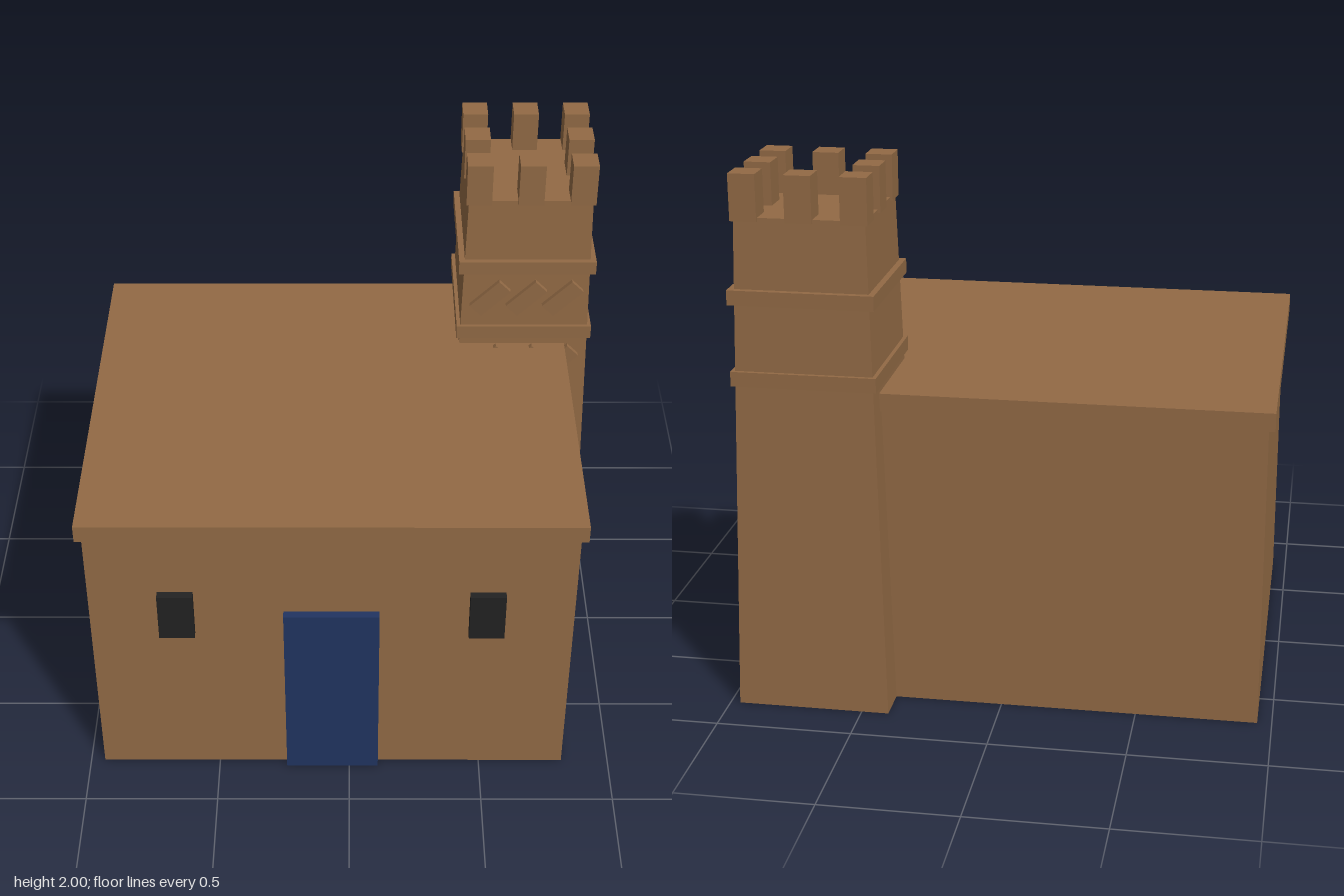
import * as THREE from 'three';

export function createModel() {
  const model = new THREE.Group();
  model.name = 'house';
  const material = (name, color) => {
    const m = new THREE.MeshStandardMaterial({ color });
    m.name = name;
    return m;
  };
  const clay = material('clay', 0x926a45);
  const blue = material('doorBlue', 0x213461);
  const dark = material('windowDark', 0x222222);

  // Box given by its limits on each axis
  const box = (name, mat, [x0, x1], [y0, y1], [z0, z1], parent = model) => {
    const mesh = new THREE.Mesh(new THREE.BoxGeometry(x1 - x0, y1 - y0, z1 - z0), mat);
    mesh.position.set((x0 + x1) / 2, (y0 + y1) / 2, (z0 + z1) / 2);
    mesh.name = name;
    parent.add(mesh);
    return mesh;
  };

  // House with overhanging flat roof
  box('walls', clay, [-0.947, 0.821], [0, 1.15], [-0.692, 0.8]);
  box('roof', clay, [-0.97, 0.845], [1.138, 1.205], [-0.715, 0.82]);
  box('door', blue, [-0.24, 0.11], [0, 0.785], [0.79, 0.83]);
  for (const x of [-0.63, 0.502]) {
    box('window', dark, [x - 0.065, x + 0.065], [0.68, 0.88], [0.79, 0.83]);
  }

  // Tapered corner tower
  const tower = new THREE.Group();
  tower.name = 'tower';
  tower.position.set(0.682, 0, -0.547);
  model.add(tower);
  const shaftGeometry = new THREE.BoxGeometry(1, 1.845, 1);
  const p = shaftGeometry.attributes.position;
  for (let i = 0; i < p.count; i++) {
    const width = p.getY(i) > 0 ? 0.468 : 0.565;
    p.setX(i, p.getX(i) * width);
    p.setZ(i, p.getZ(i) * width);
  }
  shaftGeometry.computeVertexNormals();
  const shaft = new THREE.Mesh(shaftGeometry, clay);
  shaft.name = 'towerShaft';
  shaft.position.y = 1.845 / 2;
  tower.add(shaft);

  // Raised bands
  for (const y of [1.237, 1.535]) {
    box('band', clay, [-0.263, 0.263], [y, y + 0.054], [-0.263, 0.263], tower);
  }

  // Battlements around the rim
  for (const i of [-1, 0, 1]) {
    for (const j of [-1, 0, 1]) {
      if (!i && !j) continue;
      const x = i * 0.196, z = j * 0.196;
      box('battlement', clay, [x - 0.048, x + 0.048], [1.832, 2], [z - 0.048, z + 0.048], tower);
    }
  }

  // Slanted decorative blocks on the front face
  for (const y of [1.137, 1.437]) {
    for (const x of [-0.14, 0, 0.14]) {
      const block = box('slantedBlock', clay, [x - 0.078, x + 0.078],
        [y - 0.032, y + 0.032], [0.267, 0.287], tower);
      block.rotation.z = Math.PI / 4;
    }
  }
  return model;
}
